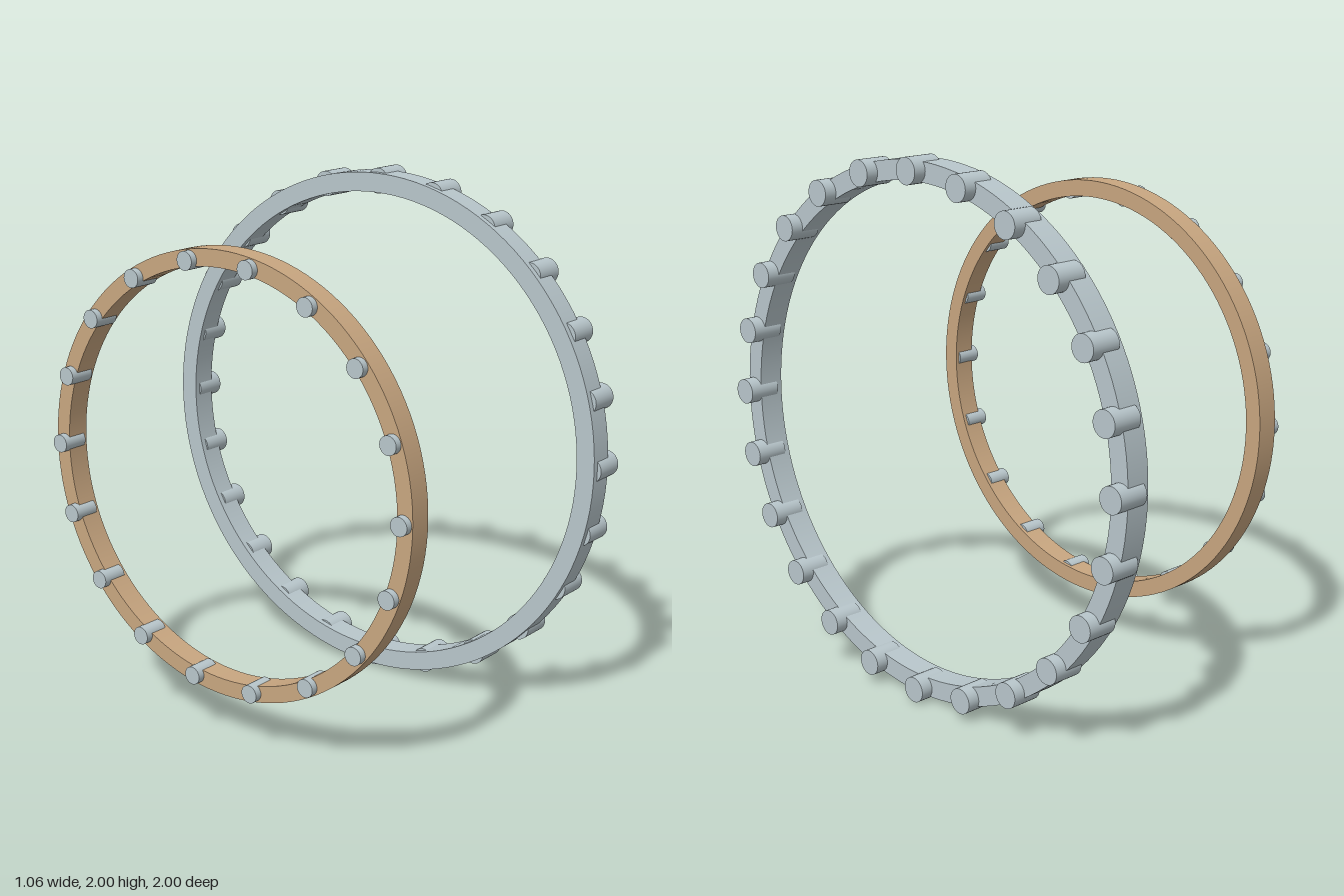
import * as THREE from 'three';
import { mergeGeometries } from 'three/addons/utils/BufferGeometryUtils.js';

const steel = new THREE.MeshStandardMaterial({ color: 0xb8c6cb });
steel.name = 'pale steel';
const bronze = new THREE.MeshStandardMaterial({ color: 0xc8a680 });
bronze.name = 'bronze';

// Flat-sided hoop about the x axis: each wall is its own lathe so edges stay sharp
function hoopGeometry(inner, outer, x0, x1) {
  const corners = [[inner, x0], [outer, x0], [outer, x1], [inner, x1]]
    .map(([r, x]) => new THREE.Vector2(r, x));
  const walls = corners.map((p, i) => new THREE.LatheGeometry([p, corners[(i + 1) % 4]], 128));
  return mergeGeometries(walls).rotateZ(-Math.PI / 2);
}

// A hoop with evenly spaced round pins lying parallel to its axis
function pinnedRing(name, { inner, outer, x0, x1, material, pins }) {
  const group = new THREE.Group();
  group.name = name;
  const hoop = new THREE.Mesh(hoopGeometry(inner, outer, x0, x1), material);
  hoop.name = name + 'Hoop';
  group.add(hoop);

  const pinGeometry = new THREE.CylinderGeometry(pins.radius, pins.radius, pins.x1 - pins.x0, 32)
    .rotateZ(-Math.PI / 2);
  for (let i = 0; i < pins.count; i++) {
    const a = (i / pins.count) * Math.PI * 2;
    const pin = new THREE.Mesh(pinGeometry, steel);
    pin.name = name + 'Pin';
    pin.position.set((pins.x0 + pins.x1) / 2, pins.orbit * Math.sin(a), pins.orbit * Math.cos(a));
    group.add(pin);
  }
  group.position.y = 1;
  return group;
}

export function createModel() {
  const model = new THREE.Group();
  model.name = 'pinnedRings';
  // Large ring on the left
  model.add(pinnedRing('largeRing', {
    inner: 0.912, outer: 0.984, x0: 0.382, x1: 0.48, material: steel,
    pins: { count: 24, radius: 0.048, orbit: 0.952, x0: 0.405, x1: 0.528 },
  }));
  // Small ring on the right
  model.add(pinnedRing('smallRing', {
    inner: 0.758, outer: 0.82, x0: -0.503, x1: -0.415, material: bronze,
    pins: { count: 18, radius: 0.034, orbit: 0.782, x0: -0.53, x1: -0.43 },
  }));
  return model;
}
